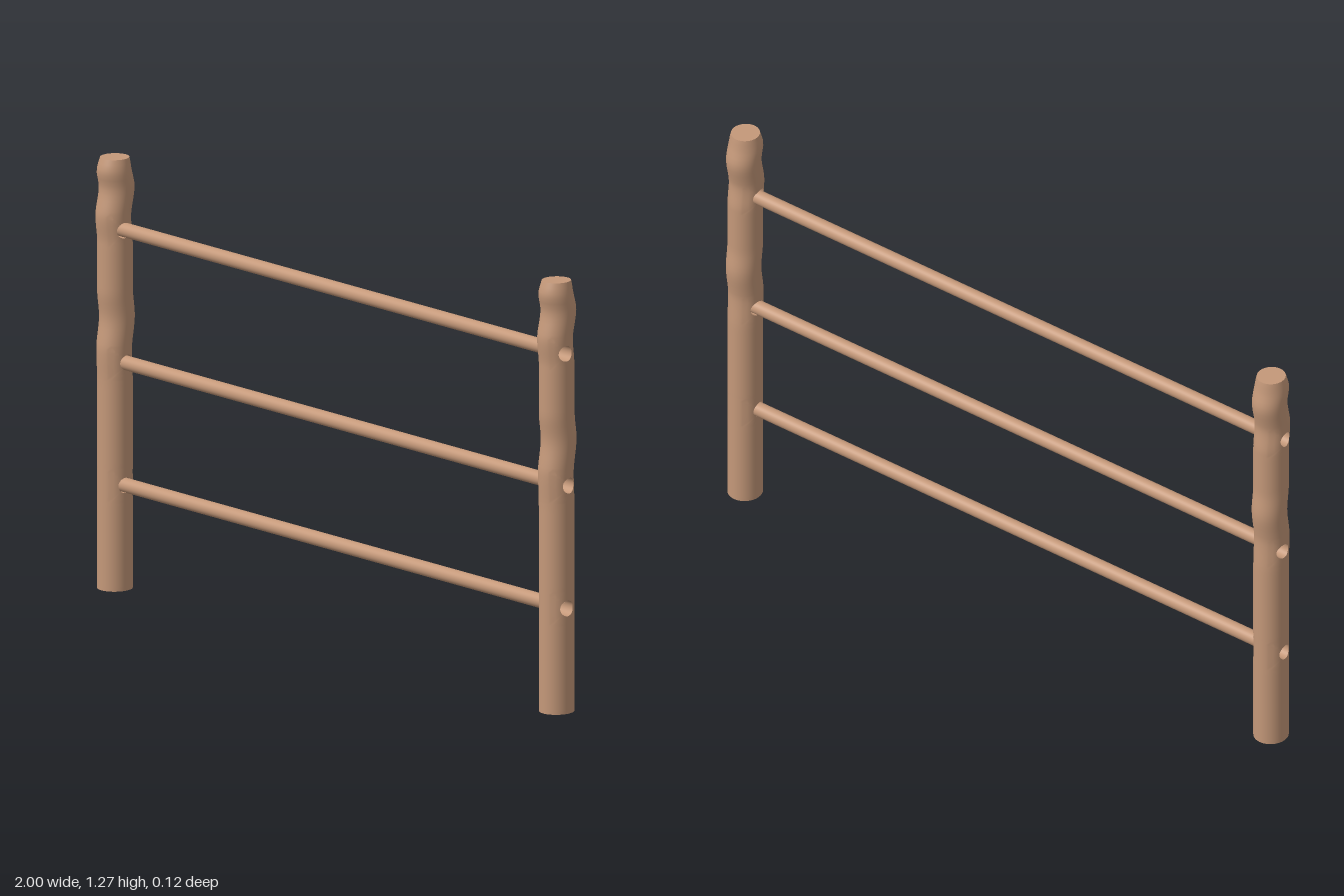
import * as THREE from 'three';

const HEIGHT = 1.267, RX = 0.05, RZ = 0.052, HOLE_R = 0.023, RAIL_R = 0.021;
const HOLES = [{ y: 0.31, z: 0.005 }, { y: 0.67, z: -0.002 }, { y: 1.06, z: 0.01 }];
const COLS = 48, HALF = 4, STEP = 0.006;

// [height, sideways drift] of the post's centre line
const DRIFT = [[0, 0.0025], [0.6, 0.0025], [0.7, 0.006], [0.8, -0.005], [0.88, 0.0025],
  [1.02, 0.0025], [1.095, 0.009], [1.18, -0.004], [1.235, 0.006], [HEIGHT, 0.0035]];

function centreZ(y) {
  for (let i = 1; i < DRIFT.length; i++) {
    const [y0, z0] = DRIFT[i - 1], [y1, z1] = DRIFT[i];
    if (y <= y1) return THREE.MathUtils.lerp(z0, z1, THREE.MathUtils.smoothstep(y, y0, y1));
  }
  return DRIFT.at(-1)[1];
}

// Radius factor: the tip narrows
const taper = (y) => 1 - 0.18 * Math.pow(Math.max(0, (y - 1.215) / (HEIGHT - 1.215)), 1.6);

// Half depth in x of the post at a point (y, z)
const halfX = (y, z) => {
  const s = (z - centreZ(y)) / (RZ * taper(y));
  return RX * taper(y) * Math.sqrt(Math.max(0, 1 - s * s));
};

// Wavy post wall; the grid around each hole is warped from a square to a circle
function postWall() {
  const rows = [];
  for (let i = 0; i <= 84; i++) {
    const y = HEIGHT * i / 84;
    if (HOLES.every((h) => Math.abs(y - h.y) > STEP * (2 * HALF + 0.5))) rows.push({ y });
  }
  for (const hole of HOLES)
    for (let j = -2 * HALF; j <= 2 * HALF; j++) rows.push({ y: hole.y + j * STEP, j, hole });
  rows.sort((a, b) => a.y - b.y);

  // Signed column distance from the nearest hole axis
  const offset = (c) => {
    const k = ((c % (COLS / 2)) + COLS / 2) % (COLS / 2);
    return k > COLS / 4 ? k - COLS / 2 : k;
  };
  const pos = [], index = [];
  rows.forEach(({ y, j, hole }, r) => {
    for (let c = 0; c < COLS; c++) {
      const a = c / COLS * Math.PI * 2, t = taper(y);
      let x = Math.cos(a) * RX * t, z = centreZ(y) + Math.sin(a) * RZ * t, yy = y;
      if (hole) {
        const side = Math.cos(a) >= 0 ? 1 : -1, i = offset(c) * side;
        const w = THREE.MathUtils.clamp(2 - Math.max(Math.abs(i), Math.abs(j)) / HALF, 0, 1);
        if (w > 0) {
          const len = Math.hypot(i, j) || 1;
          z = THREE.MathUtils.lerp(z, hole.z + HOLE_R * i / len, w);
          yy = THREE.MathUtils.lerp(y, hole.y + HOLE_R * j / len, w);
          x = side * halfX(yy, z);
        }
      }
      pos.push(x, yy, z);
      if (r === rows.length - 1) continue;
      const next = rows[r + 1], mid = offset(c) + 0.5;
      const open = hole && hole === next.hole && Math.abs(j + 0.5) < HALF && Math.abs(mid) < HALF;
      if (open) continue;
      const n = (c + 1) % COLS, p = r * COLS, q = p + COLS;
      index.push(p + c, q + c, p + n, q + c, q + n, p + n);
    }
  });
  const g = new THREE.BufferGeometry();
  g.setAttribute('position', new THREE.Float32BufferAttribute(pos, 3));
  g.setIndex(index);
  g.computeVertexNormals();
  return g;
}

// Inner wall of a drilled hole, trimmed to the post surface
function holeWall({ y, z }) {
  const g = new THREE.CylinderGeometry(HOLE_R, HOLE_R, 1, 32, 1, true);
  g.rotateZ(Math.PI / 2).translate(0, y, z);
  const p = g.attributes.position;
  for (let i = 0; i < p.count; i++) p.setX(i, Math.sign(p.getX(i)) * halfX(p.getY(i), p.getZ(i)));
  return g;
}

export function createModel() {
  const wood = new THREE.MeshStandardMaterial({ color: 0xc49879, side: THREE.DoubleSide });
  wood.name = 'wood';
  const model = new THREE.Group();
  model.name = 'railFence';
  const add = (parent, geometry, name) => {
    const mesh = new THREE.Mesh(geometry, wood);
    mesh.name = name;
    parent.add(mesh);
    return mesh;
  };

  // Posts
  const wall = postWall();
  for (const side of [-1, 1]) {
    const post = new THREE.Group();
    post.name = side > 0 ? 'leftPost' : 'rightPost';
    post.position.x = side * 0.95;
    add(post, wall, 'postWall');
    for (const hole of HOLES) add(post, holeWall(hole), 'railHole');
    for (const [y, turn, name] of [[0, 1, 'postBase'], [HEIGHT, -1, 'postTop']]) {
      const cap = new THREE.CircleGeometry(1, COLS).scale(RX * taper(y), RZ * taper(y), 1);
      cap.rotateX(turn * Math.PI / 2).translate(0, y, centreZ(y));
      add(post, cap, name);
    }
    model.add(post);
  }

  // Rails, ending inside the posts
  for (const { y } of HOLES) {
    const rail = new THREE.CylinderGeometry(RAIL_R, RAIL_R, 1.86, 32).rotateZ(Math.PI / 2);
    add(model, rail, 'rail').position.set(0, y, 0.003);
  }
  return model;
}
